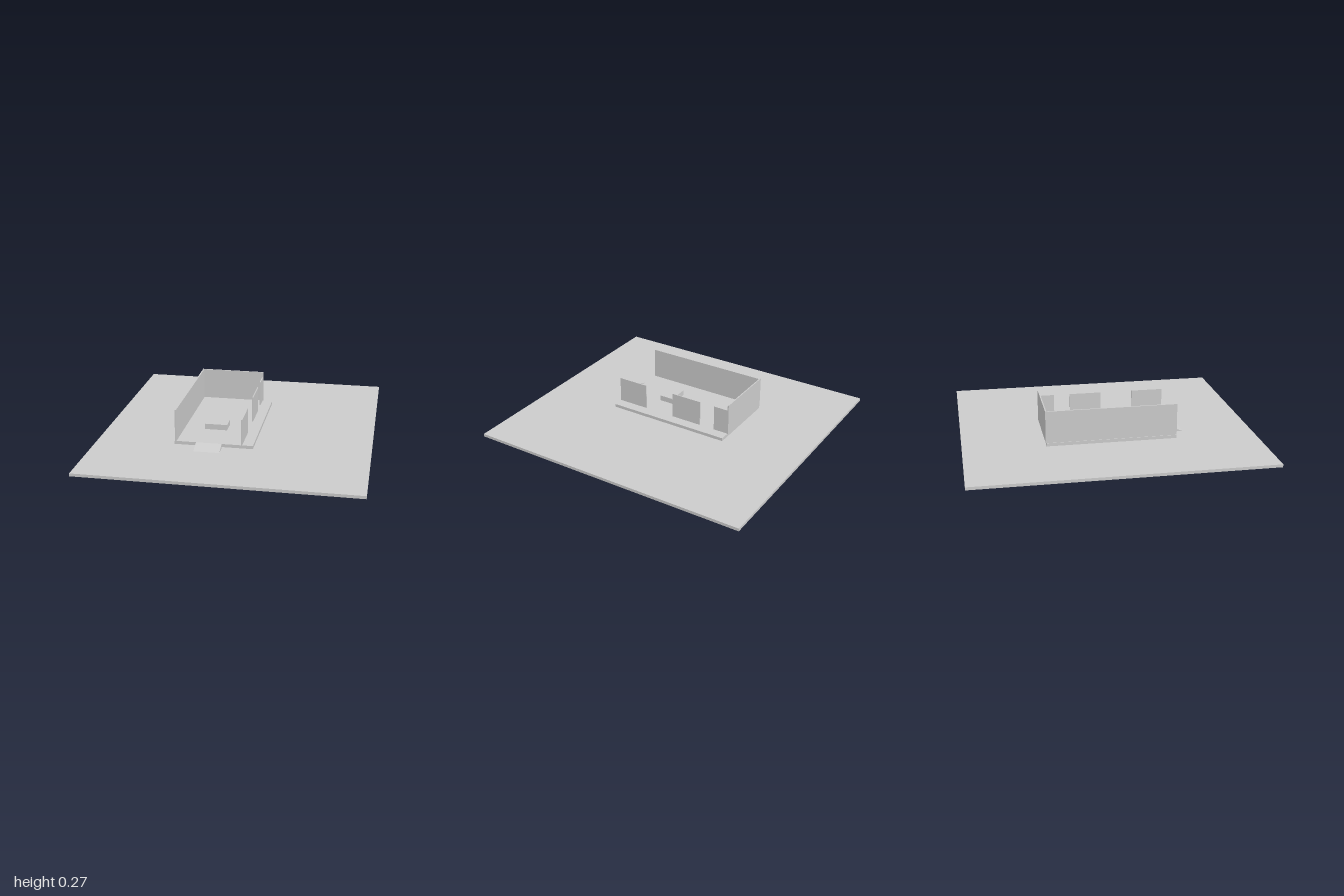
import * as THREE from 'three';

const material = new THREE.MeshStandardMaterial({ color: 0xcccccc, flatShading: true });

// Box given by its minimum and maximum on each axis
function block(name, [x0, x1], [y0, y1], [z0, z1]) {
  const mesh = new THREE.Mesh(new THREE.BoxGeometry(x1 - x0, y1 - y0, z1 - z0), material);
  mesh.position.set((x0 + x1) / 2, (y0 + y1) / 2, (z0 + z1) / 2);
  mesh.name = name;
  return mesh;
}

// Wedge sloping down toward +z
function wedge(name, [x0, x1], [y0, y1], [z0, z1]) {
  const side = new THREE.Shape([
    new THREE.Vector2(-z0, y0),
    new THREE.Vector2(-z1, y0),
    new THREE.Vector2(-z0, y1),
  ]);
  const geometry = new THREE.ExtrudeGeometry(side, { depth: x1 - x0, bevelEnabled: false });
  geometry.rotateY(Math.PI / 2);
  geometry.translate(x0, 0, 0);
  const mesh = new THREE.Mesh(geometry, material);
  mesh.name = name;
  return mesh;
}

export function createModel() {
  const model = new THREE.Group();
  model.name = 'openPavilion';

  // Site and raised floor
  model.add(block('ground', [-0.925, 0.925], [0, 0.02], [-1, 1]));
  model.add(block('floorSlab', [-0.385, 0.148], [0.03, 0.052], [-0.443, 0.443]));
  model.add(wedge('entranceRamp', [-0.238, -0.063], [0.02, 0.052], [0.443, 0.522]));

  // Solid walls
  model.add(block('sideWall', [-0.381, -0.371], [0.052, 0.272], [-0.443, 0.443]));
  model.add(block('backWall', [-0.381, 0.08], [0.052, 0.274], [-0.449, -0.441]));

  // Row of separate panels along the open side
  const panels = new THREE.Group();
  panels.name = 'sidePanels';
  for (const span of [[-0.441, -0.334], [-0.222, 0], [0.222, 0.443]]) {
    panels.add(block('sidePanel', [0.069, 0.076], [0.052, 0.232], span));
  }
  model.add(panels);

  // Low table inside
  model.add(block('table', [-0.229, -0.073], [0.052, 0.091], [0.098, 0.199]));

  return model;
}
